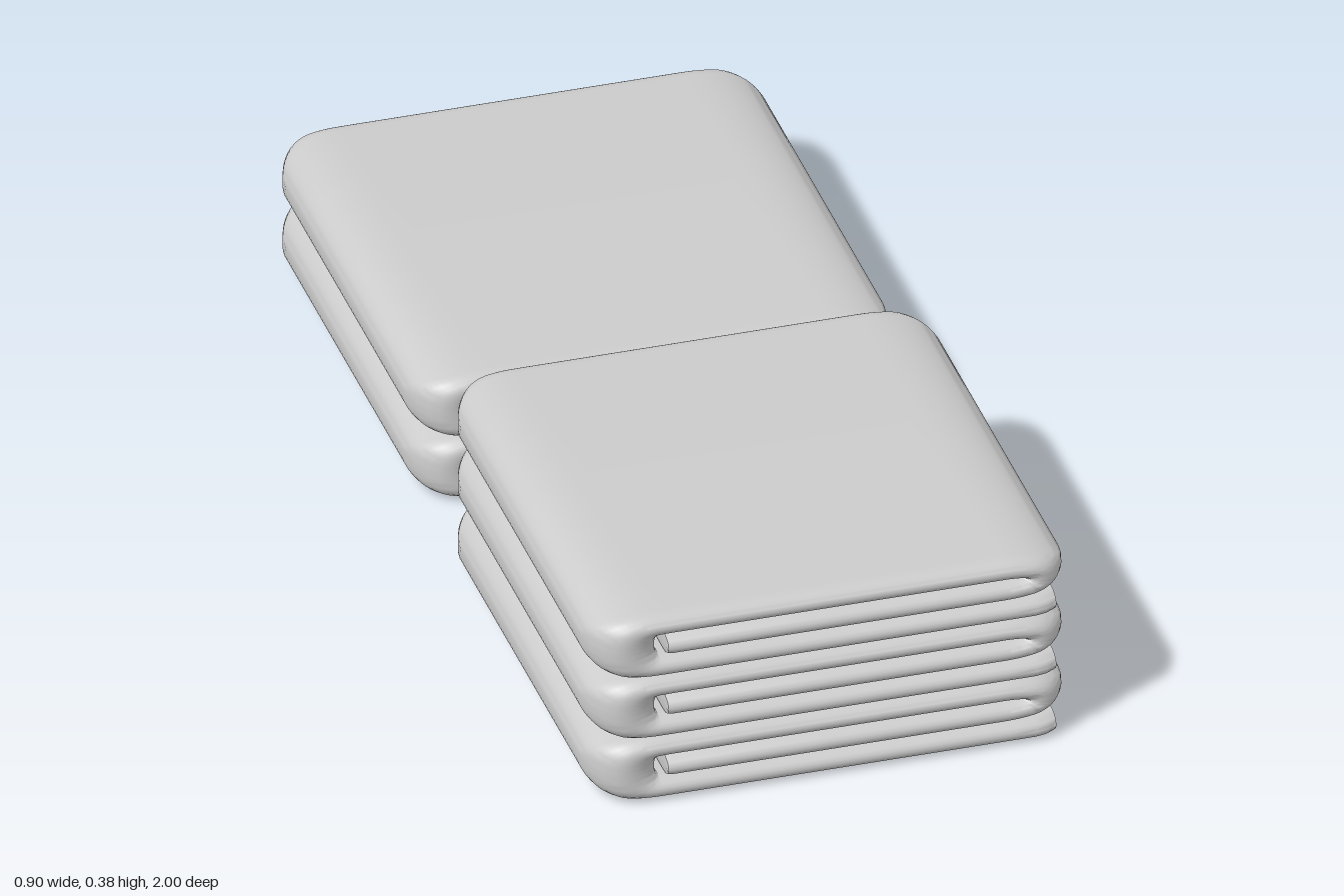
import * as THREE from 'three';
import { toCreasedNormals } from 'three/addons/utils/BufferGeometryUtils.js';

const T = 0.0423;        // thickness of one cloth layer
const H = 3 * T;         // height of one folded towel
const HALF = 0.46;       // half depth in z
const EDGE = 0.035;      // depth of the rounded side edge
const CORNER = 0.075;    // corner radius seen from above

// half depth at x, giving the rounded plan corners
function halfDepth(x) {
  const d = Math.min(CORNER, Math.max(0, Math.abs(x) - (0.45 - CORNER)));
  return HALF - CORNER + Math.sqrt(CORNER * CORNER - d * d);
}

// stations along the folded cloth: [outer x, outer y, inner x, inner y]
function foldStations() {
  const s = [];
  // open hem: two lips with a slot between them
  s.push([0.34, T / 2, 0.34, T / 2], [0.415, 0.006, 0.415, T - 0.006], [0.42, 0.001, 0.42, T - 0.001]);
  // bottom layer
  for (const x of [0.4, 0.38, 0.34, 0, -0.3]) s.push([x, 0, x, T - 0.0005]);
  // big left fold
  const n = 28;
  for (let k = 0; k <= n; k++) {
    const a = (k / n) * Math.PI;
    const c = Math.cos(a);
    const y = H / 2 - Math.sign(c) * Math.pow(Math.abs(c), 0.85) * H / 2;
    s.push([-0.32 - 0.13 * Math.pow(Math.abs(Math.sin(a)), 0.85), y,
      -0.32 - 0.006 * Math.sin(a), H / 2 - c * T / 2]);
  }
  // top layer
  for (const x of [-0.3, 0, 0.3]) s.push([x, H, x, 2 * T + 0.0005]);
  // tight right fold
  for (let k = 0; k <= n; k++) {
    const a = (k / n) * Math.PI;
    s.push([0.32 + 0.13 * Math.sin(a), 2 * T + T * Math.cos(a),
      0.32 + 0.035 * Math.sin(a), 2 * T + 0.0005 * Math.cos(a)]);
  }
  // tucked middle layer and its closed end
  for (const x of [0.3, 0, -0.3]) s.push([x, T, x, 2 * T - 0.0005]);
  s.push([-0.308, T + 0.003, -0.308, 2 * T - 0.003], [-0.31, 1.5 * T, -0.31, 1.5 * T]);
  return s;
}

// loft a flat, round-edged section through the stations
function towelGeometry() {
  const stations = foldStations();
  const half = 10, ring = 2 * (half + 1);
  const pos = [], idx = [];
  for (const [ox, oy, ix, iy] of stations) {
    for (let j = 0; j < ring; j++) {
      const side = j <= half ? 1 : -1;
      const k = side > 0 ? j : j - half - 1;
      const a = (k / half - 0.5) * Math.PI;
      const t = (1 + side * Math.sin(a)) / 2;
      const x = ix + (ox - ix) * t;
      pos.push(x, iy + (oy - iy) * t, side * (halfDepth(x) - EDGE + EDGE * Math.cos(a)));
    }
  }
  for (let i = 0; i < stations.length - 1; i++) {
    for (let j = 0; j < ring; j++) {
      const a = i * ring + j, b = i * ring + (j + 1) % ring;
      idx.push(a, a + ring, b + ring, a, b + ring, b);
    }
  }
  const g = new THREE.BufferGeometry();
  g.setAttribute('position', new THREE.Float32BufferAttribute(pos, 3));
  g.setIndex(idx);
  return toCreasedNormals(g, 0.75);
}

export function createModel() {
  const model = new THREE.Group();
  model.name = 'foldedTowels';
  const geometry = towelGeometry();
  const material = new THREE.MeshStandardMaterial({ color: 0xcccccc, side: THREE.DoubleSide });

  // front stack of three, back stack of two
  for (const [name, count, z] of [['frontStack', 3, 0.54], ['backStack', 2, -0.54]]) {
    const stack = new THREE.Group();
    stack.name = name;
    stack.position.z = z;
    for (let i = 0; i < count; i++) {
      const towel = new THREE.Mesh(geometry, material);
      towel.name = 'towel' + (i + 1);
      towel.position.y = i * H;
      stack.add(towel);
    }
    model.add(stack);
  }
  return model;
}
